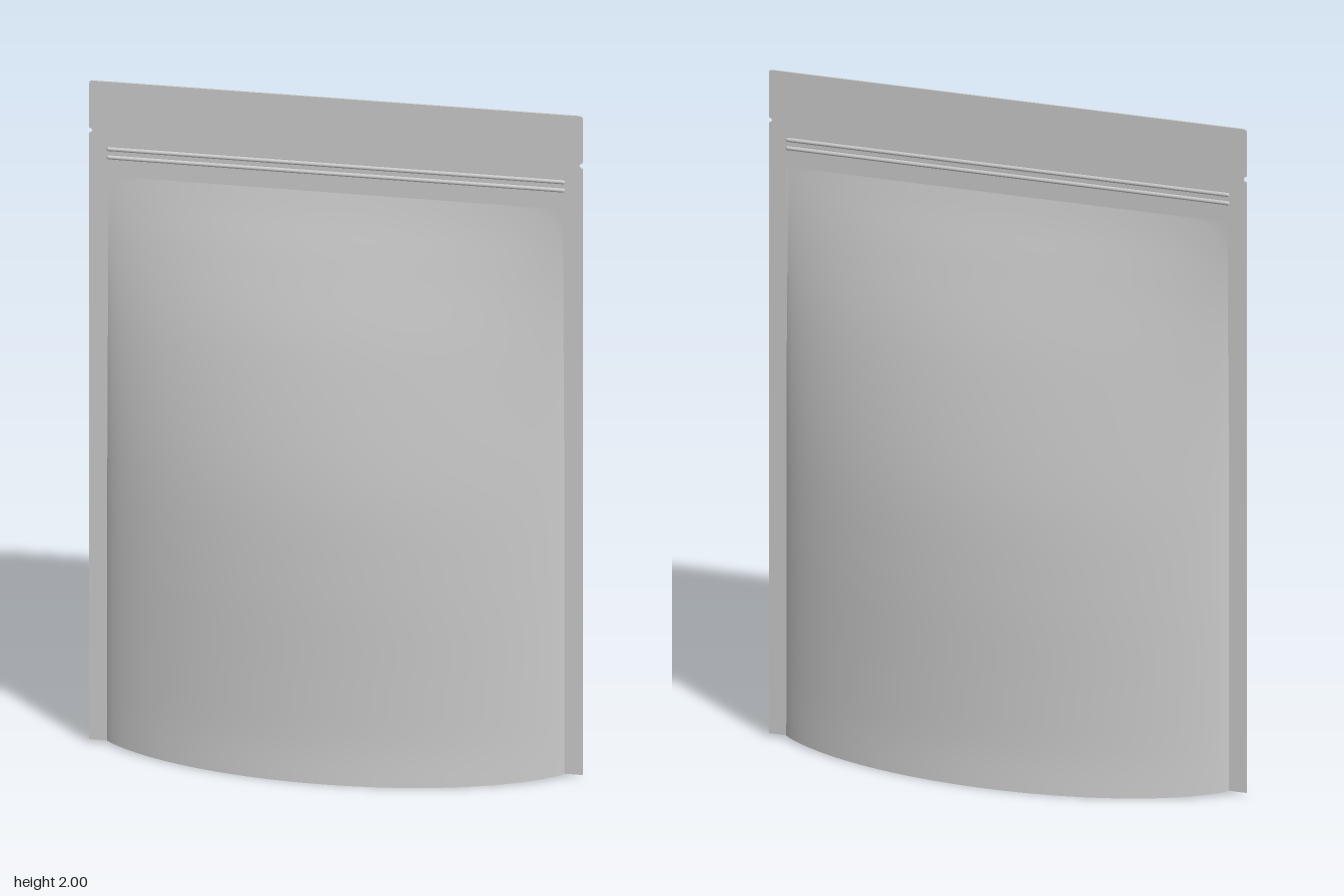
import * as THREE from 'three';
import { toCreasedNormals } from 'three/addons/utils/BufferGeometryUtils.js';

const W = 0.69;       // half width over the side seals
const IN = 0.642;     // half width of the filled chamber
const SEAL_Y = 1.72;  // where the two walls meet below the zipper
const FILM = 0.003;   // half thickness of the sealed film

// Half depth of the pouch from bottom to top, as (depth, height)
const profile = new THREE.SplineCurve([
  [0.168, 0], [0.161, 0.12], [0.16, 0.3], [0.16, 0.6], [0.147, 0.9],
  [0.101, 1.25], [0.05, 1.5], [0.018, 1.64], [0.002, SEAL_Y],
].map(([d, y]) => new THREE.Vector2(d, y)));

const lens = u => Math.pow(Math.max(0, 1 - u * u), 0.8);
const bottomLift = u => 0.01 * Math.pow(Math.abs(u), 5);

// Grid over u, v in -1..1, each vertex placed by a rule
function surface(nu, nv, rule) {
  const geo = new THREE.PlaneGeometry(2, 2, nu, nv);
  const p = geo.attributes.position;
  for (let i = 0; i < p.count; i++) {
    const u = Math.sin(p.getX(i) * Math.PI / 2); // finer towards the sides
    p.setXYZ(i, ...rule(u, p.getY(i)));
  }
  geo.computeVertexNormals();
  return geo;
}

export function createModel() {
  const group = new THREE.Group();
  const mat = new THREE.MeshStandardMaterial({ color: 0xcccccc, side: THREE.DoubleSide });
  const add = (name, geo) => {
    const mesh = new THREE.Mesh(geo, mat);
    mesh.name = name;
    group.add(mesh);
    return mesh;
  };

  // Bulging front and back walls
  const wall = surface(48, 60, (u, v) => {
    const t = (v + 1) / 2;
    const q = profile.getPoint(t);
    return [u * IN, q.y + bottomLift(u) * (1 - t), Math.max(q.x * lens(u), 0.001)];
  });
  add('frontWall', wall);
  add('backWall', wall).rotation.y = Math.PI;

  // Bottom gusset folded upwards along a centre crease
  const gusset = surface(48, 16, (u, v) => {
    const rise = 0.065 * Math.min(1, (1 - Math.abs(u)) / 0.28);
    return [u * IN, bottomLift(u) + rise * (1 - Math.abs(v)), v * 0.168 * lens(u)];
  });
  add('bottomGusset', toCreasedNormals(gusset, 0.2));

  // Flat side and top seals with rounded corners and tear notches
  const s = new THREE.Shape();
  const r = 0.01, ny = 1.85, nh = 0.009, nd = 0.009;
  s.moveTo(-W, 0.01);
  s.lineTo(-IN + 0.005, 0.01);
  s.lineTo(-IN + 0.005, SEAL_Y - 0.005);
  s.lineTo(IN - 0.005, SEAL_Y - 0.005);
  s.lineTo(IN - 0.005, 0.01);
  s.lineTo(W, 0.01);
  s.lineTo(W, ny - nh);
  s.quadraticCurveTo(W - nd * 2, ny, W, ny + nh);
  s.lineTo(W, 2 - r);
  s.quadraticCurveTo(W, 2, W - r, 2);
  s.lineTo(-W + r, 2);
  s.quadraticCurveTo(-W, 2, -W, 2 - r);
  s.lineTo(-W, ny + nh);
  s.quadraticCurveTo(-W + nd * 2, ny, -W, ny - nh);
  s.closePath();
  const seal = new THREE.ExtrudeGeometry(s, { depth: 2 * FILM, bevelEnabled: false, curveSegments: 8 });
  seal.translate(0, 0, -FILM);
  add('edgeSeals', seal);

  // Two press-zip ridges showing on both faces
  for (const y of [1.772, 1.797]) {
    const ridge = new THREE.CapsuleGeometry(0.007, 1.27, 6, 12);
    ridge.rotateZ(Math.PI / 2);
    const mesh = add('zipRidge', ridge);
    mesh.scale.z = 0.9;
    mesh.position.y = y;
  }
  return group;
}
